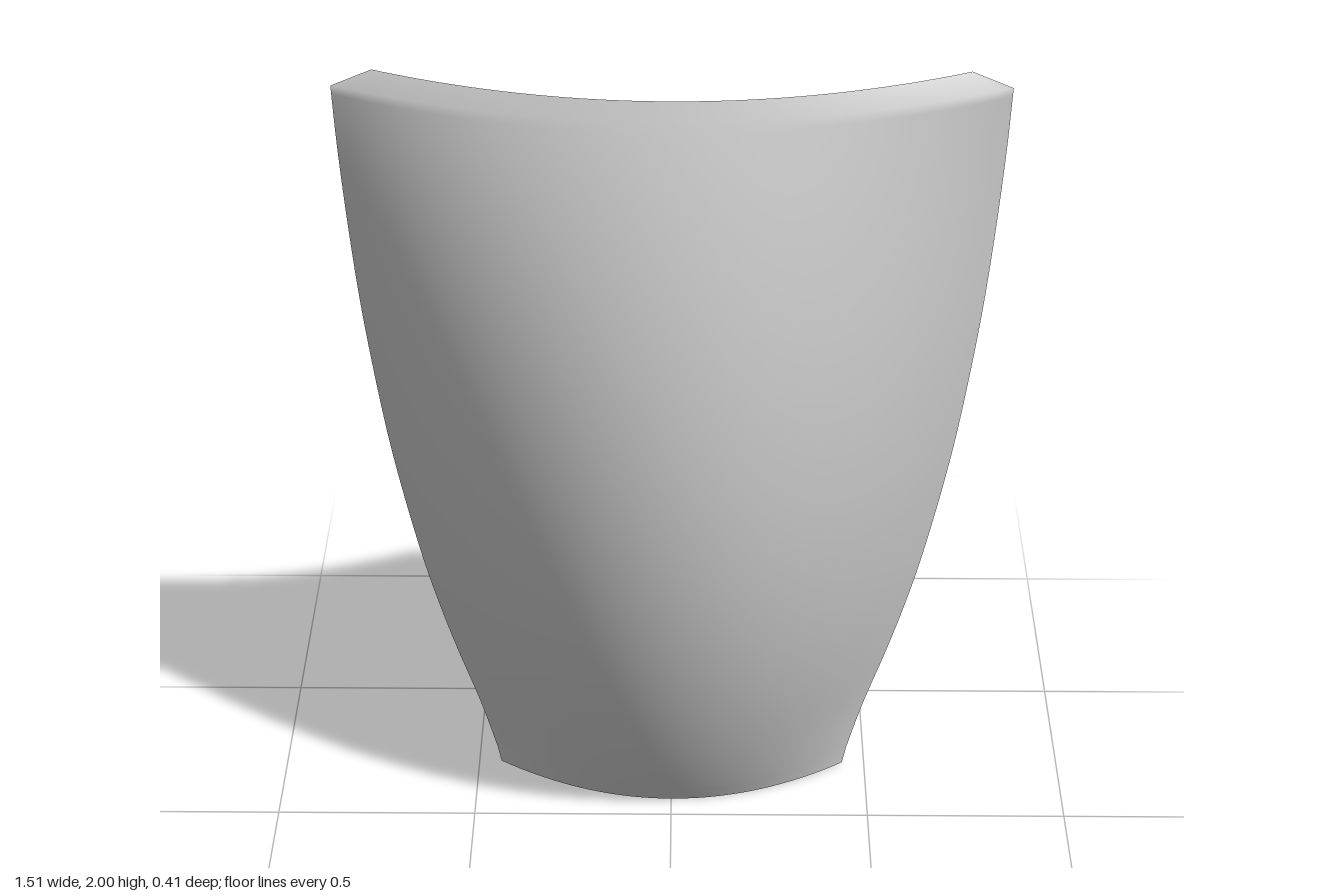
import * as THREE from 'three';

const BACK = -0.205; // plane in which both side edges lie
const COLS = 48;

// Depth of the bowed centre line at height y
const crown = (y) => 0.205 - 0.265 * (1 - y) ** 2;

// Rows of (half width, height): flaring side edge, then the clipped top corners
function edgeRows() {
  const side = new THREE.SplineCurve([
    [0.452, 0.05], [0.49, 0.2], [0.55, 0.4], [0.602, 0.6], [0.643, 0.8], [0.677, 1.0],
    [0.703, 1.2], [0.724, 1.4], [0.739, 1.6], [0.75, 1.8], [0.755, 1.96],
  ].map(([x, y]) => new THREE.Vector2(x, y)));
  return [new THREE.Vector2(0.443, 0), ...side.getPoints(50), new THREE.Vector2(0.662, 2)];
}

// Thin curved panel: a parabolic cross-section lofted through the rows
function panelGeometry() {
  const rows = edgeRows();
  const positions = [];
  const index = [];
  rows.forEach(({ x: halfWidth, y }, r) => {
    for (let c = 0; c <= COLS; c++) {
      const u = (c / COLS) * 2 - 1;
      positions.push(u * halfWidth, y, BACK + (crown(y) - BACK) * (1 - u * u));
      if (r > 0 && c > 0) {
        const d = r * (COLS + 1) + c;
        const b = d - COLS - 1;
        index.push(b - 1, b, d, b - 1, d, d - 1);
      }
    }
  });
  const geometry = new THREE.BufferGeometry();
  geometry.setAttribute('position', new THREE.Float32BufferAttribute(positions, 3));
  geometry.setIndex(index);
  geometry.computeVertexNormals();
  return geometry;
}

export function createModel() {
  const group = new THREE.Group();
  group.name = 'curvedPanel';
  const material = new THREE.MeshStandardMaterial({ color: 0xcccccc, side: THREE.DoubleSide });
  const panel = new THREE.Mesh(panelGeometry(), material);
  panel.name = 'panelShell';
  group.add(panel);
  return group;
}
